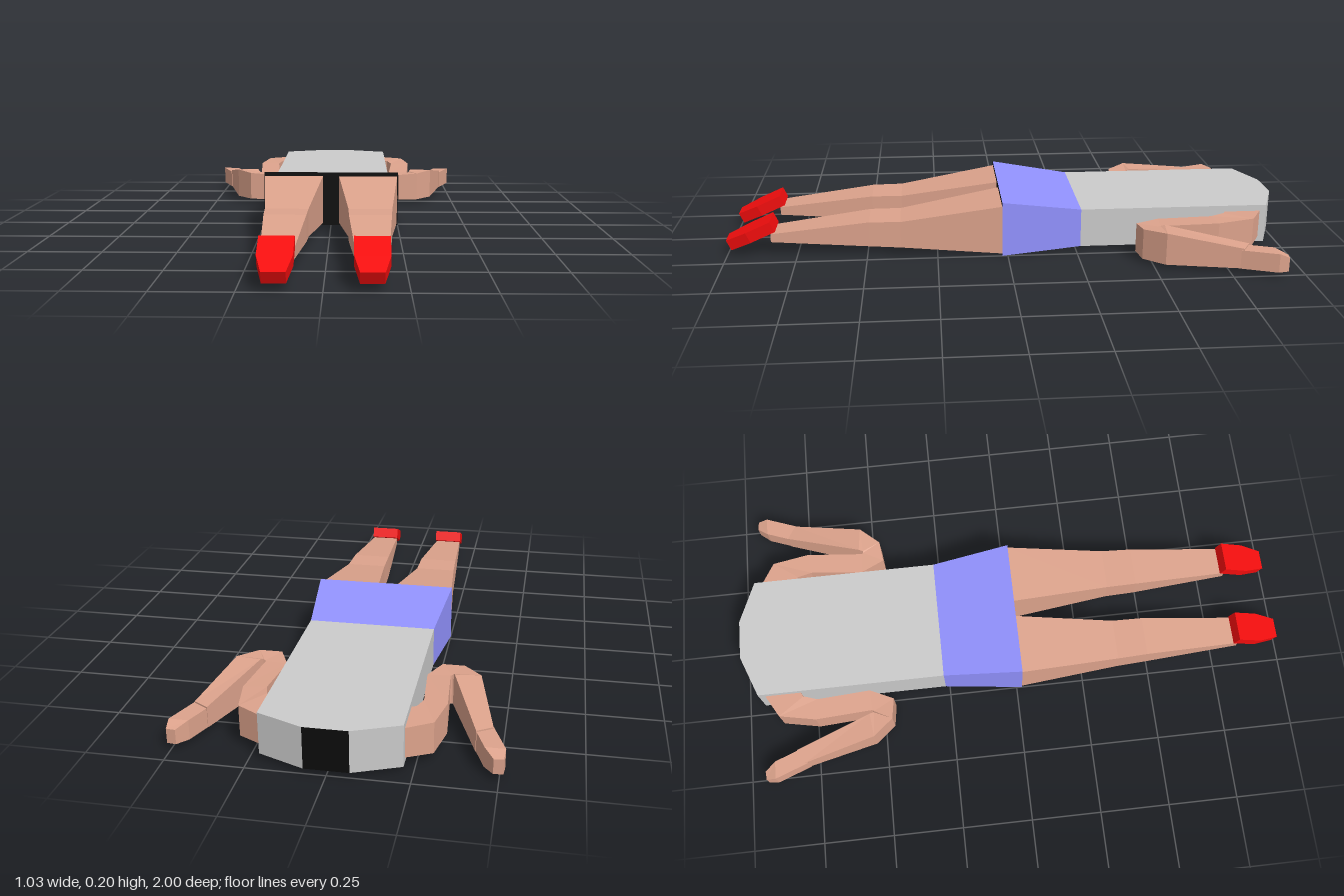
import * as THREE from 'three';

const mat = (color) => new THREE.MeshStandardMaterial({ color, flatShading: true });

// Skin four-cornered cross-sections into a faceted solid, faces turned outward.
function loft(sections, capped = true) {
  const tris = [];
  const quad = (a, b, c, d) => tris.push([a, b, c], [a, c, d]);
  for (let i = 0; i < sections.length - 1; i++) {
    const s = sections[i], t = sections[i + 1];
    for (let k = 0; k < 4; k++) {
      const n = (k + 1) % 4;
      quad(s[k], s[n], t[n], t[k]);
    }
  }
  if (capped) {
    quad(...[...sections[0]].reverse());
    quad(...sections[sections.length - 1]);
  }
  const all = sections.flat();
  const mid = all.reduce((m, p) => m.add(p), new THREE.Vector3()).divideScalar(all.length);
  let volume = 0;
  for (const [a, b, c] of tris) {
    const p = a.clone().sub(mid), q = b.clone().sub(mid), r = c.clone().sub(mid);
    volume += p.dot(q.cross(r));
  }
  const points = tris.flatMap(([a, b, c]) => (volume < 0 ? [a, c, b] : [a, b, c]));
  const geometry = new THREE.BufferGeometry().setFromPoints(points);
  geometry.computeVertexNormals();
  return geometry;
}

// Upright cross-section standing over the line from (ax, az) to (bx, bz).
const section = (ax, az, bx, bz, y0, y1) => [
  new THREE.Vector3(ax, y0, az), new THREE.Vector3(bx, y0, bz),
  new THREE.Vector3(bx, y1, bz), new THREE.Vector3(ax, y1, az),
];
const across = (z, x0, x1, y0, y1) => section(x0, z, x1, z, y0, y1);

export function createModel() {
  const model = new THREE.Group();
  const skin = mat(0xdda38c), grey = mat(0xcccccc), blue = mat(0x9292ff);
  const red = mat(0xf40d0d), black = mat(0x0c0c0c);

  const add = (name, geometry, material, parent = model) => {
    const mesh = new THREE.Mesh(geometry, material);
    mesh.name = name;
    parent.add(mesh);
    return mesh;
  };

  // Shirt with slanted shoulders, and shorts flaring toward the legs
  add('shirt', loft([
    across(-0.265, -0.22, 0.22, 0.017, 0.157),
    across(-0.94, -0.22, 0.22, 0.017, 0.157),
    across(-1, -0.07, 0.07, 0.017, 0.157),
  ], false), grey);
  add('shorts', loft([
    across(0.02, -0.25, 0.25, 0, 0.2),
    across(-0.265, -0.22, 0.22, 0.017, 0.157),
  ], false), blue);

  // Dark end panels
  const neck = add('neckPanel', new THREE.PlaneGeometry(0.14, 0.14), black);
  neck.position.set(0, 0.087, -1);
  neck.rotation.y = Math.PI;
  const hem = add('shortsHemPanel', new THREE.PlaneGeometry(0.5, 0.2), black);
  hem.position.set(0, 0.1, 0.02);

  for (const side of [1, -1]) {
    const label = side > 0 ? 'left' : 'right';
    const limb = (name, sections, material) => {
      sections.flat().forEach((p) => { p.x *= side; });
      add(label + name, loft(sections), material);
    };

    // Leg tapering from thigh past the knee to the ankle
    limb('Leg', [
      across(0.02, 0.03, 0.247, 0.008, 0.185),
      across(0.38, 0.068, 0.217, 0.03, 0.127),
      across(0.49, 0.07, 0.212, 0.036, 0.127),
      across(0.84, 0.092, 0.193, 0.055, 0.085),
    ], skin);

    // Shoe: a slab tilted toe-down, narrowing at the toe
    const shoe = (z, y, x0, x1) => [
      new THREE.Vector3(x0, y, z), new THREE.Vector3(x1, y, z),
      new THREE.Vector3(x1, y + 0.037, z + 0.017), new THREE.Vector3(x0, y + 0.037, z + 0.017),
    ];
    limb('Shoe', [
      shoe(0.823, 0.094, 0.088, 0.196),
      shoe(0.91, 0.055, 0.088, 0.196),
      shoe(0.983, 0.022, 0.105, 0.177),
    ], red);

    // Arm bent double at the elbow, ending in a flat hand
    limb('Arm', [
      section(0.215, -0.79, 0.215, -0.92, 0.035, 0.135),
      section(0.235, -0.78, 0.3, -0.87, 0.03, 0.135),
      section(0.25, -0.73, 0.325, -0.74, 0.025, 0.13),
      section(0.235, -0.54, 0.31, -0.535, 0.017, 0.12),
      section(0.275, -0.455, 0.315, -0.53, 0.015, 0.12),
      section(0.35, -0.465, 0.32, -0.53, 0.015, 0.125),
      section(0.41, -0.535, 0.325, -0.545, 0.015, 0.13),
      section(0.47, -0.79, 0.42, -0.82, 0.018, 0.09),
    ], skin);
    limb('Hand', [
      section(0.47, -0.78, 0.418, -0.81, 0.018, 0.085),
      section(0.515, -0.9, 0.452, -0.9, 0.018, 0.085),
      section(0.512, -0.935, 0.482, -0.938, 0.02, 0.07),
    ], skin);
  }
  return model;
}
